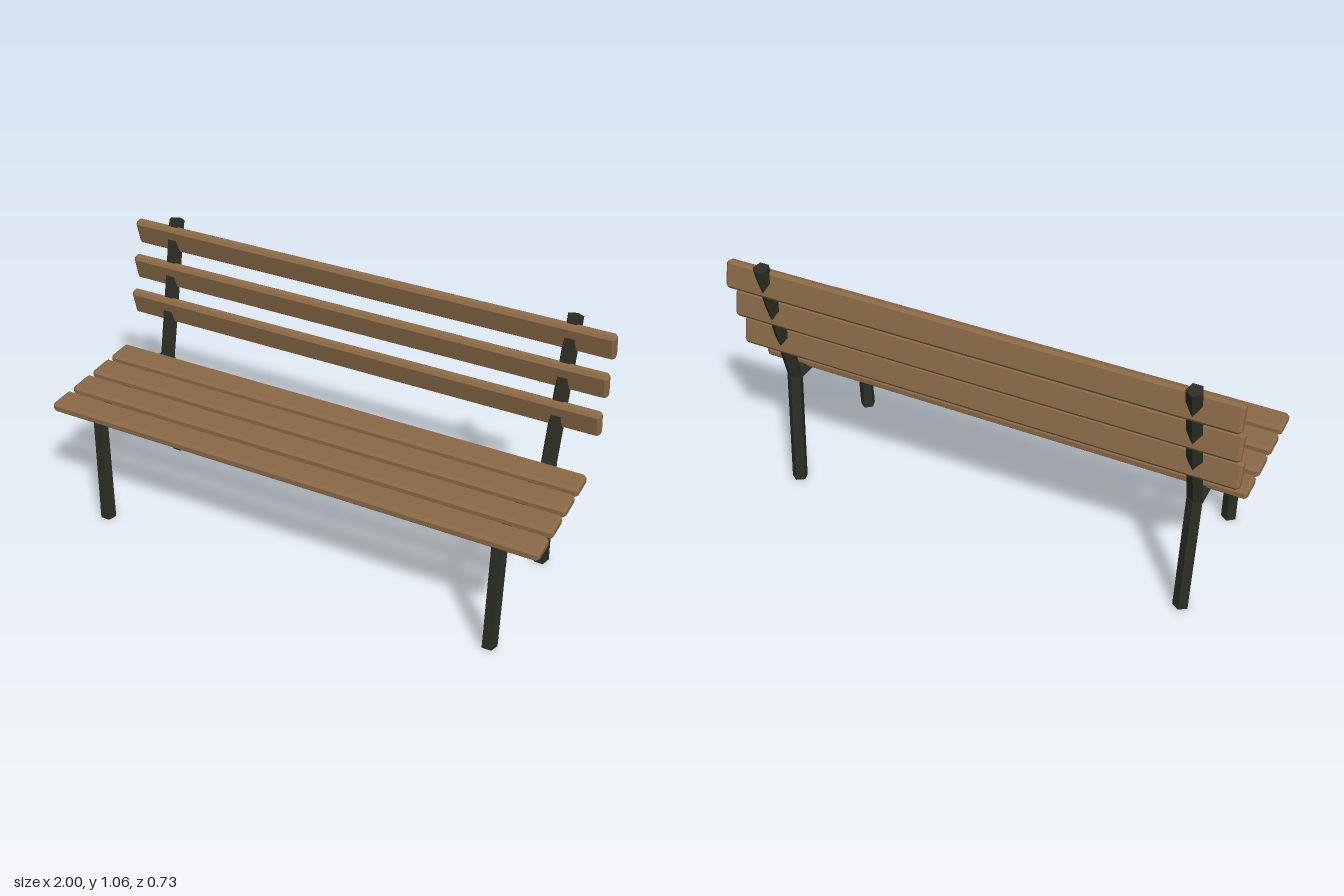
import * as THREE from 'three';

const metal = new THREE.MeshStandardMaterial({ color: 0x2c2d23 });
metal.name = 'darkMetal';
const wood = new THREE.MeshStandardMaterial({ color: 0x8a6947 });
wood.name = 'brownWood';

const SIDES = 5, RADIUS = 0.0315;

// Five-sided bar swept through rings [y, z, lean]; lean turns the ring from facing up towards facing back
function barGeometry(rings) {
  const pts = rings.map(([y, z, lean]) => Array.from({ length: SIDES }, (_, j) => {
    const a = (j / SIDES) * Math.PI * 2;
    const d = RADIUS * Math.cos(a);
    return [-RADIUS * Math.sin(a), y - d * Math.sin(lean), z - d * Math.cos(lean)];
  }));
  const pos = [];
  const tri = (a, b, c) => pos.push(...a, ...b, ...c);
  for (let i = 0; i < pts.length - 1; i++) {
    for (let j = 0; j < SIDES; j++) {
      const k = (j + 1) % SIDES;
      tri(pts[i][j], pts[i][k], pts[i + 1][k]);
      tri(pts[i][j], pts[i + 1][k], pts[i + 1][j]);
    }
  }
  // End caps
  const first = pts[0], last = pts[pts.length - 1];
  for (let j = 1; j < SIDES - 1; j++) {
    tri(first[0], first[j + 1], first[j]);
    tri(last[0], last[j], last[j + 1]);
  }
  const g = new THREE.BufferGeometry();
  g.setAttribute('position', new THREE.Float32BufferAttribute(pos, 3));
  g.computeVertexNormals();
  return g;
}

// Plank along x with all edges chamfered
function plankGeometry(length, width, thick, c) {
  const w = width / 2, t = thick / 2;
  const shape = new THREE.Shape([
    [-w + c, -t], [w - c, -t], [w, -t + c], [w, t - c],
    [w - c, t], [-w + c, t], [-w, t - c], [-w, -t + c],
  ].map(([x, y]) => new THREE.Vector2(x, y)));
  const g = new THREE.ExtrudeGeometry(shape, {
    depth: length - 2 * c, bevelEnabled: true, bevelSegments: 1,
    bevelThickness: c, bevelSize: c * 0.8, bevelOffset: -c * 0.8,
  });
  g.translate(0, 0, -(length - 2 * c) / 2);
  g.rotateY(Math.PI / 2);
  return g;
}

export function createModel() {
  const bench = new THREE.Group();
  bench.name = 'bench';
  const add = (parent, name, geometry, material, x, y, z, tilt = 0) => {
    const m = new THREE.Mesh(geometry, material);
    m.name = name;
    m.position.set(x, y, z);
    m.rotation.x = tilt;
    parent.add(m);
  };

  // Front leg, seat rail and back post are one bent bar; the rear leg is separate
  const frameBar = barGeometry([
    [0.003, 0.304, 0.04],
    [0.495, 0.29, 0.8],
    [0.495, -0.199, 0.88],
    [1.06, -0.333, 0.235],
  ]);
  const rearLeg = barGeometry([
    [0.004, -0.243, -0.09],
    [0.494, -0.2, -0.09],
  ]);
  for (const side of [1, -1]) {
    const frame = new THREE.Group();
    frame.name = side > 0 ? 'leftFrame' : 'rightFrame';
    add(frame, 'frontLegRailAndPost', frameBar, metal, side * 0.833, 0, 0);
    add(frame, 'rearLeg', rearLeg, metal, side * 0.833, 0, 0);
    bench.add(frame);
  }

  // Seat and backrest slats
  const plank = plankGeometry(2, 0.11, 0.041, 0.011);
  for (let i = 0; i < 4; i++) {
    add(bench, 'seatSlat' + (i + 1), plank, wood, 0, 0.519, 0.311 - i * 0.1335);
  }
  for (let i = 0; i < 3; i++) {
    add(bench, 'backSlat' + (i + 1), plank, wood, 0, 0.695 + i * 0.1445, -0.244 - i * 0.0335, Math.PI / 2 + 0.23);
  }
  return bench;
}
